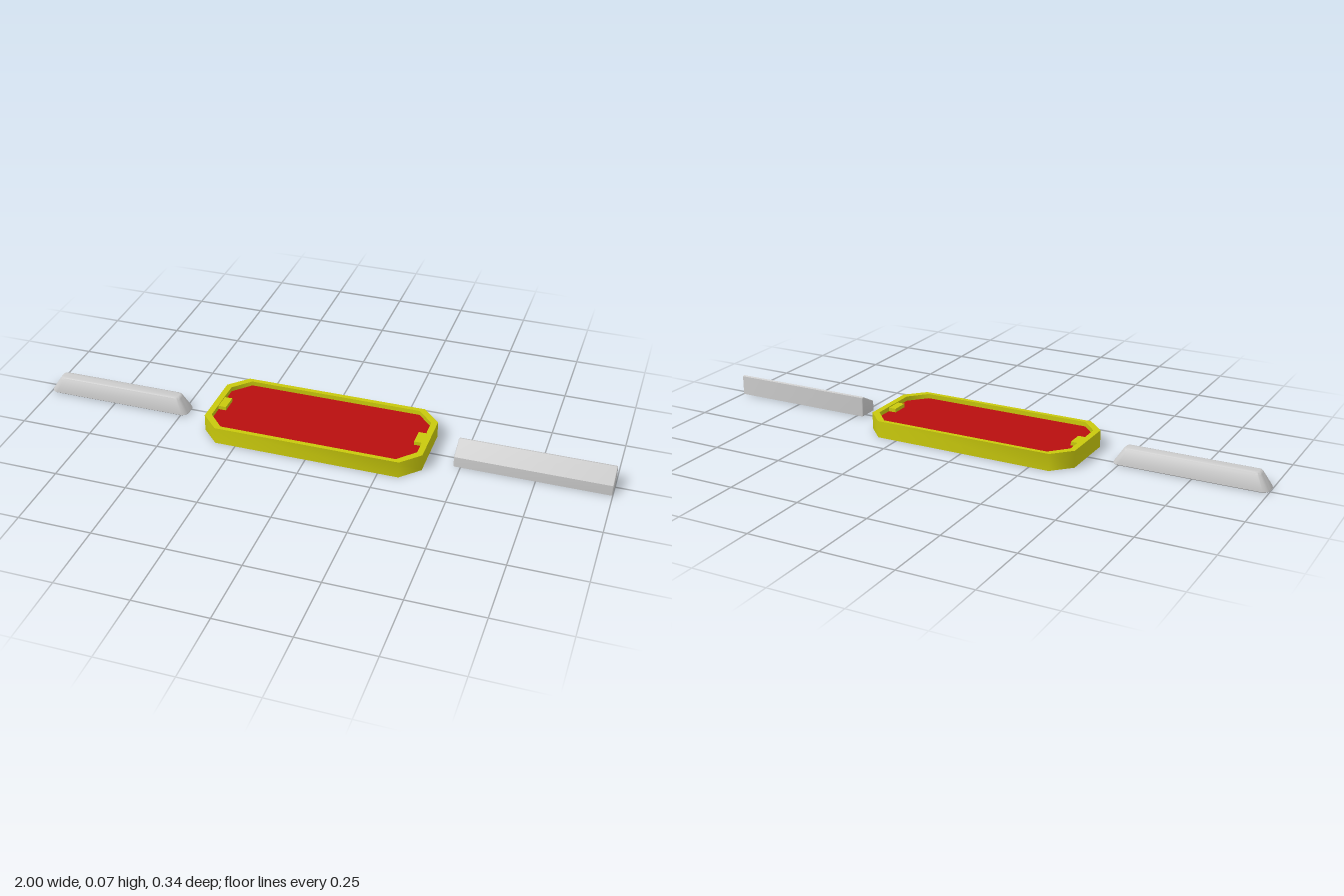
import * as THREE from 'three';
import { toCreasedNormals, mergeVertices } from 'three/addons/utils/BufferGeometryUtils.js';

const mat = (color) => new THREE.MeshStandardMaterial({ color });
const grey = mat(0xcccccc), yellow = mat(0xc8c80c), red = mat(0xb80e0e);

function part(name, geometry, material) {
  const mesh = new THREE.Mesh(geometry, material);
  mesh.name = name;
  return mesh;
}

// Rectangle with cut corners: half sizes w, d and corner cuts cx, cz
function cutRectangle(w, d, cx, cz) {
  return [[w, d - cz], [w - cx, d], [cx - w, d], [-w, d - cz],
    [-w, cz - d], [cx - w, -d], [w - cx, -d], [w, cz - d]].map(([x, y]) => new THREE.Vector2(x, y));
}

// Flat outline extruded upwards from y0 to y1
function slab(shape, y0, y1) {
  const g = new THREE.ExtrudeGeometry(shape, { depth: y1 - y0, bevelEnabled: false });
  g.rotateX(-Math.PI / 2).translate(0, y0, 0);
  return toCreasedNormals(g, 1.0);
}

// Open frame, raised panel and the two catches at its ends
function tray() {
  const group = new THREE.Group();
  group.name = 'tray';
  const frame = new THREE.Shape(cutRectangle(0.383, 0.168, 0.062, 0.064));
  frame.holes.push(new THREE.Path(cutRectangle(0.362, 0.152, 0.056, 0.06)));
  group.add(part('frame', slab(frame, 0, 0.059), yellow));
  const panel = new THREE.Shape(cutRectangle(0.364, 0.154, 0.056, 0.06));
  group.add(part('panel', slab(panel, 0.04, 0.043), red));
  for (const s of [-1, 1]) {
    const catchBlock = part(s > 0 ? 'leftCatch' : 'rightCatch', new THREE.BoxGeometry(0.038, 0.03, 0.06), yellow);
    catchBlock.position.set(s * 0.354, 0.041, 0);
    group.add(catchBlock);
  }
  return group;
}

// Straight bar with a sloping top and softened edges
function wedgeBar() {
  const b = 0.004;
  const profile = new THREE.Shape([[-0.046, b], [0.018, b], [0.018, 0.066], [0.0145, 0.067], [-0.046, 0.035]]
    .map(([x, y]) => new THREE.Vector2(x, y)));
  const g = new THREE.ExtrudeGeometry(profile, {
    depth: 0.524 - 2 * b, bevelSize: b, bevelThickness: b, bevelSegments: 3,
  });
  g.rotateY(Math.PI / 2).translate(0.476 + b, 0, 0);
  return part('wedgeBar', toCreasedNormals(g, 0.7), grey);
}

// Tapered bar lofted through rounded rectangles
function taperedBar() {
  // y, half length, half depth, corner radius
  const levels = [[0, 0.259, 0.033, 0.022], [0.003, 0.262, 0.036, 0.024], [0.008, 0.26, 0.036, 0.024],
    [0.052, 0.231, 0.024, 0.016], [0.057, 0.227, 0.021, 0.013], [0.059, 0.22, 0.015, 0.01]];
  const steps = 5, n = 4 * (steps + 1), pos = [], index = [];
  for (const [y, w, d, r] of levels) {
    for (let q = 0; q < 4; q++) {
      const sx = q === 0 || q === 3 ? 1 : -1, sz = q < 2 ? 1 : -1;
      for (let i = 0; i <= steps; i++) {
        const a = (q + i / steps) * Math.PI / 2;
        pos.push(sx * (w - r) + r * Math.cos(a), y, sz * (d - r) + r * Math.sin(a));
      }
    }
  }
  for (let l = 0; l < levels.length - 1; l++) {
    for (let i = 0; i < n; i++) {
      const a = l * n + i, b = l * n + (i + 1) % n;
      index.push(a, a + n, b, b, a + n, b + n);
    }
  }
  const top = (levels.length - 1) * n;
  for (let i = 1; i < n - 1; i++) index.push(0, i, i + 1, top, top + i + 1, top + i);
  const g = new THREE.BufferGeometry();
  g.setAttribute('position', new THREE.Float32BufferAttribute(pos, 3));
  g.setIndex(index);
  const mesh = part('taperedBar', toCreasedNormals(mergeVertices(g), 0.7), grey);
  mesh.position.set(-0.738, 0, 0.014);
  return mesh;
}

export function createModel() {
  const model = new THREE.Group();
  model.name = 'trayAndBars';
  model.add(tray(), wedgeBar(), taperedBar());
  return model;
}
